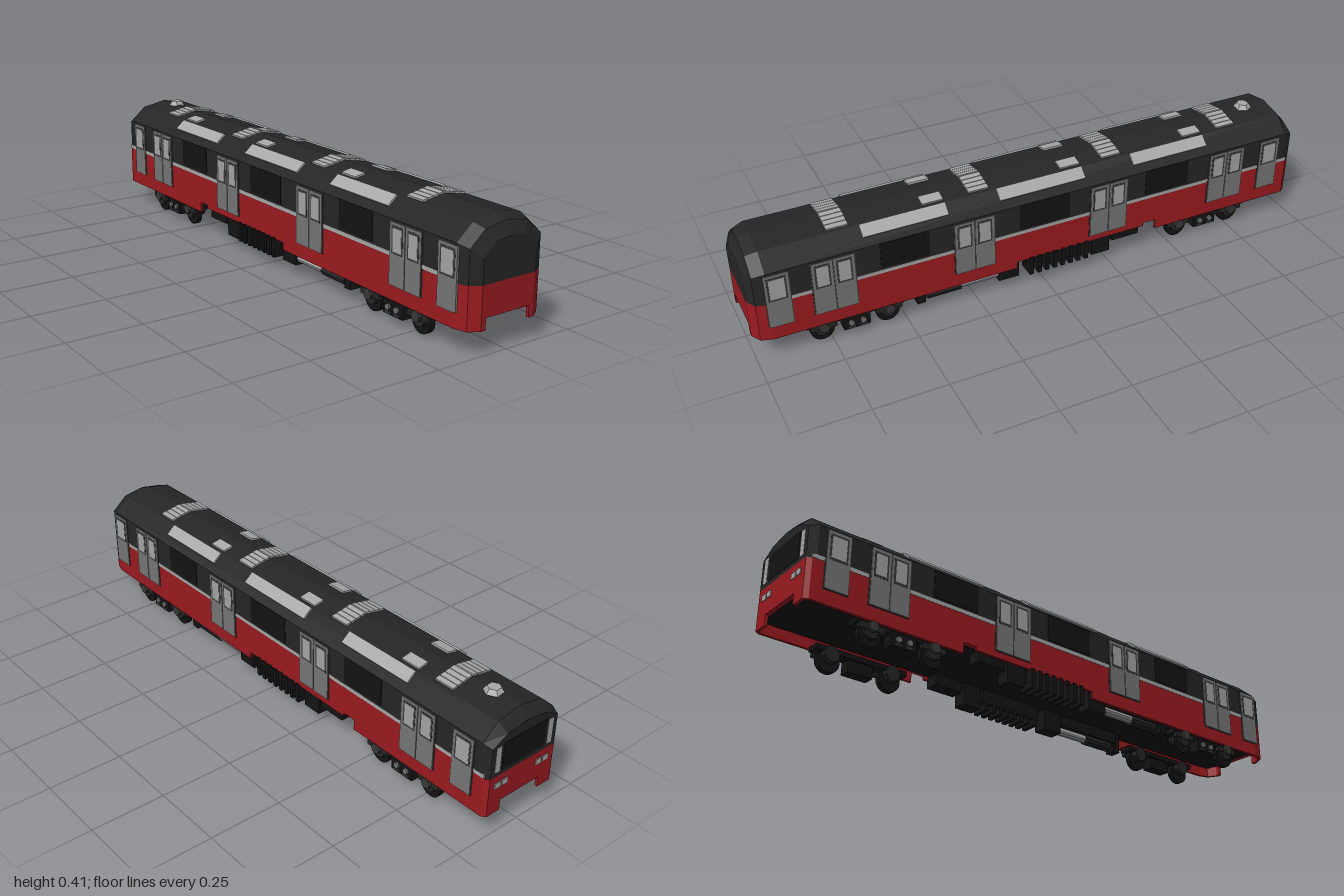
import * as THREE from 'three';

const mat = (color) => new THREE.MeshStandardMaterial({ color, flatShading: true });
const M = {
  dark: mat(0x262626), black: mat(0x141414), red: mat(0x9c1b20), door: mat(0x777777),
  pane: mat(0xa6a6a6), panel: mat(0xa8a8a8), frame: mat(0x3a3a3a),
};

// Roof height at distance z from the centreline (two facets per side)
const roofY = (z) => (z < 0.09 ? 0.392 - 0.189 * z : 0.375 - 0.877 * (z - 0.09));

function add(parent, name, geo, m) {
  const mesh = new THREE.Mesh(geo, m);
  mesh.name = name;
  parent.add(mesh);
  return mesh;
}

// Box given by its limits
function box(parent, name, m, x0, x1, y0, y1, z0, z1) {
  const mesh = add(parent, name, new THREE.BoxGeometry(x1 - x0, y1 - y0, Math.abs(z1 - z0)), m);
  mesh.position.set((x0 + x1) / 2, (y0 + y1) / 2, (z0 + z1) / 2);
  return mesh;
}

// Plan outline (x, z) raised from y0 to y1
function prism(parent, name, m, pts, y0, y1) {
  const shape = new THREE.Shape(pts.map(([x, z]) => new THREE.Vector2(x, z)));
  const geo = new THREE.ExtrudeGeometry(shape, { depth: y1 - y0, bevelEnabled: false });
  return add(parent, name, geo.rotateX(Math.PI / 2).translate(0, y1, 0), m);
}

function cylinder(parent, name, m, r, len, x, y, z, axis, sides = 14) {
  const geo = new THREE.CylinderGeometry(r, r, len, sides);
  if (axis === 'x') geo.rotateZ(Math.PI / 2); else geo.rotateX(Math.PI / 2);
  const mesh = add(parent, name, geo, m);
  mesh.position.set(x, y, z);
}

// Upper shell: cross-sections lofted along x, closed at both ends
function shellGeometry() {
  // x, wall half-width, eave y, shoulder z, shoulder y, ridge y
  const stations = [
    [-1, 0.137, 0.315, 0.08, 0.345, 0.355], [-0.97, 0.147, 0.325, 0.09, 0.375, 0.392],
    [0.94, 0.147, 0.325, 0.09, 0.375, 0.392], [0.98, 0.135, 0.315, 0.08, 0.363, 0.377],
    [1, 0.1, 0.29, 0.055, 0.33, 0.336],
  ];
  const pos = [], index = [], n = 7;
  for (const [x, w, ey, sz, sy, ry] of stations) {
    const half = [[w, 0.21], [w, ey], [sz, sy]];
    const ring = [...half, [0, ry], ...half.slice().reverse().map(([z, y]) => [-z, y])];
    for (const [z, y] of ring) pos.push(x, y, z);
  }
  const last = (stations.length - 1) * n;
  for (let i = 0; i < stations.length - 1; i++)
    for (let j = 0; j < n; j++) {
      const a = i * n + j, d = i * n + (j + 1) % n;
      index.push(a, a + n, d + n, a, d + n, d);
    }
  for (let j = 1; j < n - 1; j++) index.push(0, j, j + 1, last, last + j + 1, last + j);
  const geo = new THREE.BufferGeometry();
  geo.setAttribute('position', new THREE.Float32BufferAttribute(pos, 3));
  geo.setIndex(index);
  const flat = geo.toNonIndexed();
  flat.computeVertexNormals();
  return flat;
}

// Thin plate lying on a roof facet
function roofPlate(parent, name, s, x0, x1, z0, z1) {
  const ya = roofY(z0), yb = roofY(z1);
  const geo = new THREE.BoxGeometry(x1 - x0, 0.009, Math.hypot(z1 - z0, yb - ya));
  const mesh = add(parent, name, geo, M.panel);
  mesh.position.set((x0 + x1) / 2, (ya + yb) / 2 + 0.002, s * (z0 + z1) / 2);
  mesh.rotation.x = s * Math.atan2(ya - yb, z1 - z0);
}

// One door leaf with a framed window
function doorLeaf(parent, s, x0, x1) {
  const g = new THREE.Group();
  g.name = 'doorLeaf';
  box(g, 'doorPanel', M.door, x0, x1, 0.125, 0.318, s * 0.14, s * 0.151);
  box(g, 'doorWindowFrame', M.frame, x0 + 0.008, x1 - 0.008, 0.222, 0.309, s * 0.14, s * 0.1515);
  box(g, 'doorWindow', M.pane, x0 + 0.014, x1 - 0.014, 0.229, 0.302, s * 0.14, s * 0.1525);
  parent.add(g);
}

// Wheels, side beam and spring block on one side of a bogie
function bogieSide(parent, s, cx) {
  const g = new THREE.Group();
  g.name = 'bogie';
  for (const dx of [-0.111, 0.111]) {
    const x = cx + dx;
    cylinder(g, 'wheel', M.black, 0.04, 0.02, x, 0.04, s * 0.115, 'z', 16);
    cylinder(g, 'wheelInnerHub', M.dark, 0.027, 0.024, x, 0.056, s * 0.095, 'z', 10);
    cylinder(g, 'wheelHub', M.dark, 0.027, 0.012, x, 0.05, s * 0.131, 'z', 8);
    cylinder(g, 'axleBox', M.frame, 0.018, 0.016, x, 0.06, s * 0.142, 'z', 8);
    box(g, 'axleSpring', M.dark, x - 0.045, x + 0.045, 0.05, 0.07, s * 0.126, s * 0.14);
  }
  box(g, 'sideBeam', M.black, cx - 0.165, cx + 0.165, 0.062, 0.08, s * 0.09, s * 0.135);
  box(g, 'springBlock', M.black, cx - 0.045, cx + 0.045, 0.022, 0.07, s * 0.1, s * 0.14);
  for (const dx of [-0.02, 0.02]) {
    cylinder(g, 'springCap', M.door, 0.01, 0.008, cx + dx, 0.047, s * 0.143, 'z', 8);
    box(g, 'springFoot', M.frame, cx + dx - 0.014, cx + dx + 0.014, 0.026, 0.034, s * 0.13, s * 0.145);
  }
  parent.add(g);
}

// Equipment hung under one side of the floor
function underEquipment(parent, s) {
  const g = new THREE.Group();
  g.name = 'underfloorEquipment';
  const b = (name, m, x0, x1, y0, y1, z0 = 0.09, z1 = 0.14) =>
    box(g, name, m, x0, x1, y0, y1, s * z0, s * z1);
  b('equipmentBox', M.black, -0.375, -0.27, 0.07, 0.112);
  b('equipmentBox', M.black, -0.26, -0.19, 0.033, 0.112);
  b('resistorCore', M.black, -0.18, 0.06, 0.06, 0.112, 0.09, 0.125);
  for (let i = 0; i < 8; i++) {
    const x = -0.17 + i * 0.03;
    b('resistorFin', M.black, x, x + 0.015, 0.036, 0.105, 0.09, 0.153);
  }
  b('equipmentBox', M.black, 0.09, 0.165, 0.037, 0.112);
  cylinder(g, 'airTank', M.panel, 0.015, 0.14, 0.233, 0.06, s * 0.12, 'x', 10);
  b('tankHanger', M.black, 0.165, 0.44, 0.07, 0.112, 0.095, 0.135);
  cylinder(g, 'compressor', M.dark, 0.019, 0.12, 0.36, 0.058, s * 0.118, 'x', 8);
  b('equipmentBox', M.black, 0.43, 0.46, 0.04, 0.112, 0.1, 0.14);
  parent.add(g);
}

export function createModel() {
  const car = new THREE.Group();
  car.name = 'railCar';

  // Body
  const edge = [[-1, 0.137], [-0.985, 0.147], [0.94, 0.147], [0.98, 0.135], [1, 0.1]];
  const plan = [...edge, ...edge.slice().reverse().map(([x, z]) => [x, -z])];
  add(car, 'upperBody', shellGeometry(), M.dark);
  prism(car, 'lowerBody', M.red, plan, 0.112, 0.21);
  box(car, 'floor', M.black, -0.985, 0.975, 0.109, 0.116, -0.13, 0.13);

  for (const s of [1, -1]) {
    // Skirts and wrapped end corners
    const skirts = [[-0.985, -0.44, 0.075], [-0.39, 0.1, 0.1], [0.1, 0.94, 0.075]];
    for (const [x0, x1, y] of skirts) box(car, 'skirt', M.red, x0, x1, y, 0.113, s * 0.138, s * 0.147);
    const corners = [
      [[0.94, 0.147], [0.98, 0.135], [1, 0.1], [1, 0.083], [0.99, 0.083], [0.99, 0.097], [0.972, 0.128], [0.94, 0.138]],
      [[-0.985, 0.147], [-1, 0.137], [-1, 0.083], [-0.99, 0.083], [-0.99, 0.13], [-0.985, 0.138]],
    ];
    for (const c of corners) prism(car, 'cornerSkirt', M.red, c.map(([x, z]) => [x, s * z]), 0.075, 0.113);

    // Waist stripe and side windows
    box(car, 'waistStripe', M.panel, -0.985, 0.94, 0.211, 0.224, s * 0.14, s * 0.1478);
    for (const [x0, x1] of [[-0.56, -0.39], [-0.095, 0.09], [0.41, 0.575]])
      box(car, 'sideWindow', M.black, x0, x1, 0.23, 0.325, s * 0.14, s * 0.149);

    // Doors
    for (const x of [-0.72, -0.245, 0.253, 0.73]) {
      box(car, 'doorFrame', M.frame, x - 0.073, x + 0.073, 0.122, 0.323, s * 0.14, s * 0.149);
      doorLeaf(car, s, x - 0.069, x - 0.002);
      doorLeaf(car, s, x + 0.002, x + 0.069);
    }
    for (const x of [-0.902, 0.91]) {
      box(car, 'doorFrame', M.frame, x - 0.042, x + (x > 0 ? 0.03 : 0.042), 0.122, 0.323, s * 0.14, s * 0.149);
      doorLeaf(car, s, x - 0.039, x + 0.039);
    }

    // Roof panels, small hatches and slatted vents
    for (const [x0, x1] of [[-0.645, -0.35], [-0.165, 0.15], [0.33, 0.62]]) {
      roofPlate(car, 'roofPanel', s, x0, x1, 0.091, 0.124);
      roofPlate(car, 'roofHatch', s, x0, x0 + 0.073, 0.042, 0.08);
    }
    for (const x of [-0.785, -0.322, 0.17, 0.65])
      for (const z of [0.002, 0.022, 0.042, 0.062]) roofPlate(car, 'roofVent', s, x, x + 0.072, z, z + 0.018);

    // Cab end fittings
    box(car, 'cabPillar', M.panel, -1.0, -0.985, 0.225, 0.312, s * 0.1, s * 0.12);
    box(car, 'headlight', M.panel, -1.0015, -0.99, 0.165, 0.185, s * 0.06, s * 0.085);
    box(car, 'tailLight', M.pane, -1.0015, -0.99, 0.165, 0.185, s * 0.09, s * 0.115);
    car.children.slice(-3).forEach((m) => { m.position.x -= 0.001; });

    // Running gear
    for (const cx of [-0.655, 0.668]) bogieSide(car, s, cx);
    underEquipment(car, s);
  }

  // Cab windscreen and roof beacon
  box(car, 'cabWindow', M.black, -1.0015, -0.99, 0.225, 0.318, -0.09, 0.09);
  const beacon = add(car, 'roofBeacon', new THREE.CylinderGeometry(0.022, 0.033, 0.016, 6), M.panel);
  beacon.position.set(-0.873, 0.397, -0.004);
  return car;
}
